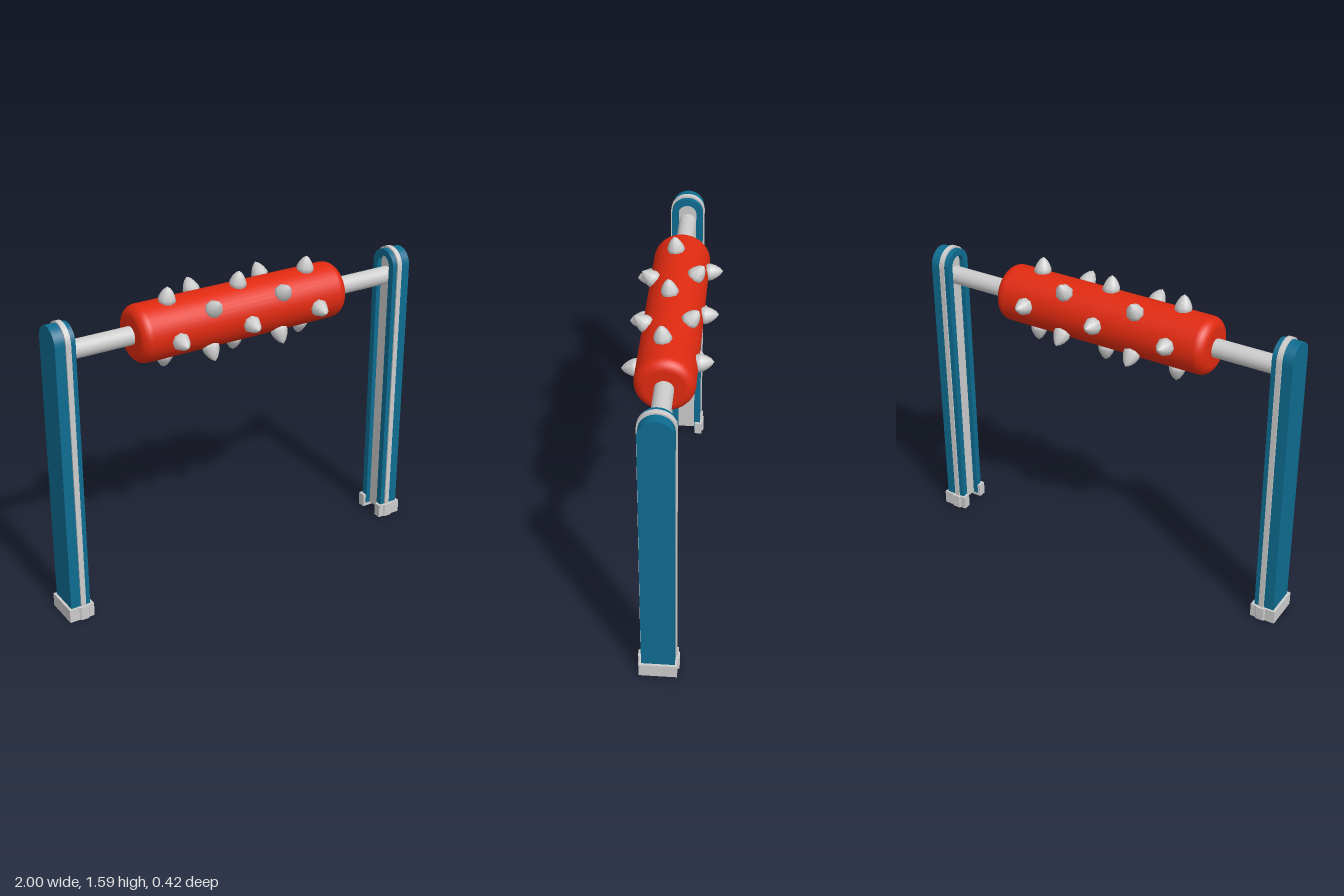
import * as THREE from 'three';

const grey = new THREE.MeshStandardMaterial({ color: 0xcccccc });
const blue = new THREE.MeshStandardMaterial({ color: 0x0e6c90 });
const red = new THREE.MeshStandardMaterial({ color: 0xe02a10 });

const AXLE_Y = 1.375;

function add(parent, name, geometry, material) {
  const mesh = new THREE.Mesh(geometry, material);
  mesh.name = name;
  parent.add(mesh);
  return mesh;
}

// Upright outline with a half-round top
function archPath(PathType, half, bottom, top) {
  const path = new PathType();
  path.moveTo(-half, bottom);
  path.lineTo(half, bottom);
  path.lineTo(half, top - half);
  path.absarc(0, top - half, half, 0, Math.PI, false);
  path.closePath();
  return path;
}

// Extrudes an upright outline along x, from x0 to x1
function slab(shape, x0, x1) {
  return new THREE.ExtrudeGeometry(shape, { depth: x1 - x0, bevelEnabled: false, curveSegments: 12 })
    .rotateY(Math.PI / 2).translate(x0, 0, 0);
}

// Slotted post standing on the +x side, slot facing the roller
function createPost() {
  const post = new THREE.Group();
  add(post, 'outerPlate', slab(archPath(THREE.Shape, 0.08, 0.02, 1.515), 0.936, 0.987), blue);
  add(post, 'middleStrip', slab(archPath(THREE.Shape, 0.087, 0.02, 1.524), 0.91, 0.936), grey);

  // Blue rail, open at the bottom, around the slot
  const rail = new THREE.Shape();
  rail.moveTo(0.08, 0.02);
  rail.lineTo(0.08, 1.435);
  rail.absarc(0, 1.435, 0.08, 0, Math.PI, false);
  rail.lineTo(-0.08, 0.02);
  rail.lineTo(-0.046, 0.02);
  rail.lineTo(-0.046, 1.435);
  rail.absarc(0, 1.435, 0.046, Math.PI, 0, true);
  rail.lineTo(0.046, 0.02);
  rail.closePath();
  add(post, 'innerRail', slab(rail, 0.885, 0.91), blue);

  // U-shaped foot, open towards the roller, bulging around the strip
  const half = [
    [0.87, 0.05], [0.87, 0.091], [0.897, 0.091], [0.903, 0.099],
    [0.943, 0.099], [0.949, 0.091], [1.0, 0.091],
  ];
  const mirrored = half.map(([x, z]) => [x, -z]).reverse();
  const outline = [...half, ...mirrored, [0.955, -0.05], [0.955, 0.05]];
  const foot = new THREE.Shape(outline.map(([x, z]) => new THREE.Vector2(x, z)));
  add(post, 'foot', new THREE.ExtrudeGeometry(foot, { depth: 0.07, bevelEnabled: false })
    .rotateX(-Math.PI / 2), grey);
  return post;
}

export function createModel() {
  const model = new THREE.Group();
  model.name = 'spikedRollerBarrier';

  // Posts
  for (const side of ['left', 'right']) {
    const post = createPost();
    post.name = side + 'Post';
    if (side === 'right') post.rotation.y = Math.PI;
    model.add(post);
  }

  // Roller on its axle
  const roller = new THREE.Group();
  roller.name = 'roller';
  roller.position.y = AXLE_Y;
  model.add(roller);
  add(roller, 'axle', new THREE.CylinderGeometry(0.045, 0.045, 1.82, 24).rotateZ(Math.PI / 2), grey);

  // Drum with rounded rims
  const R = 0.14, L = 0.57, r = 0.05;
  const rim = [];
  for (let i = 0; i <= 6; i++) {
    const a = (i / 6) * Math.PI / 2;
    rim.push(new THREE.Vector2(R - r + r * Math.sin(a), -L + r - r * Math.cos(a)));
  }
  const profile = [new THREE.Vector2(0, -L), ...rim,
    ...rim.map((p) => new THREE.Vector2(p.x, -p.y)).reverse(), new THREE.Vector2(0, L)];
  add(roller, 'drum', new THREE.LatheGeometry(profile, 40).rotateZ(Math.PI / 2), red);

  // Spikes: five rings of four, every other ring turned by 45 degrees
  const spike = new THREE.LatheGeometry([
    [0.034, 0.12], [0.043, 0.143], [0.041, 0.157], [0.032, 0.178], [0.018, 0.199], [0, 0.213],
  ].map(([x, y]) => new THREE.Vector2(x, y)), 8);
  for (let row = -2; row <= 2; row++) {
    for (let k = 0; k < 4; k++) {
      const mesh = add(roller, 'spike', spike, grey);
      mesh.position.x = row * 0.193;
      mesh.rotation.x = THREE.MathUtils.degToRad(8 + k * 90 + (row % 2 ? 45 : 0));
    }
  }
  return model;
}
